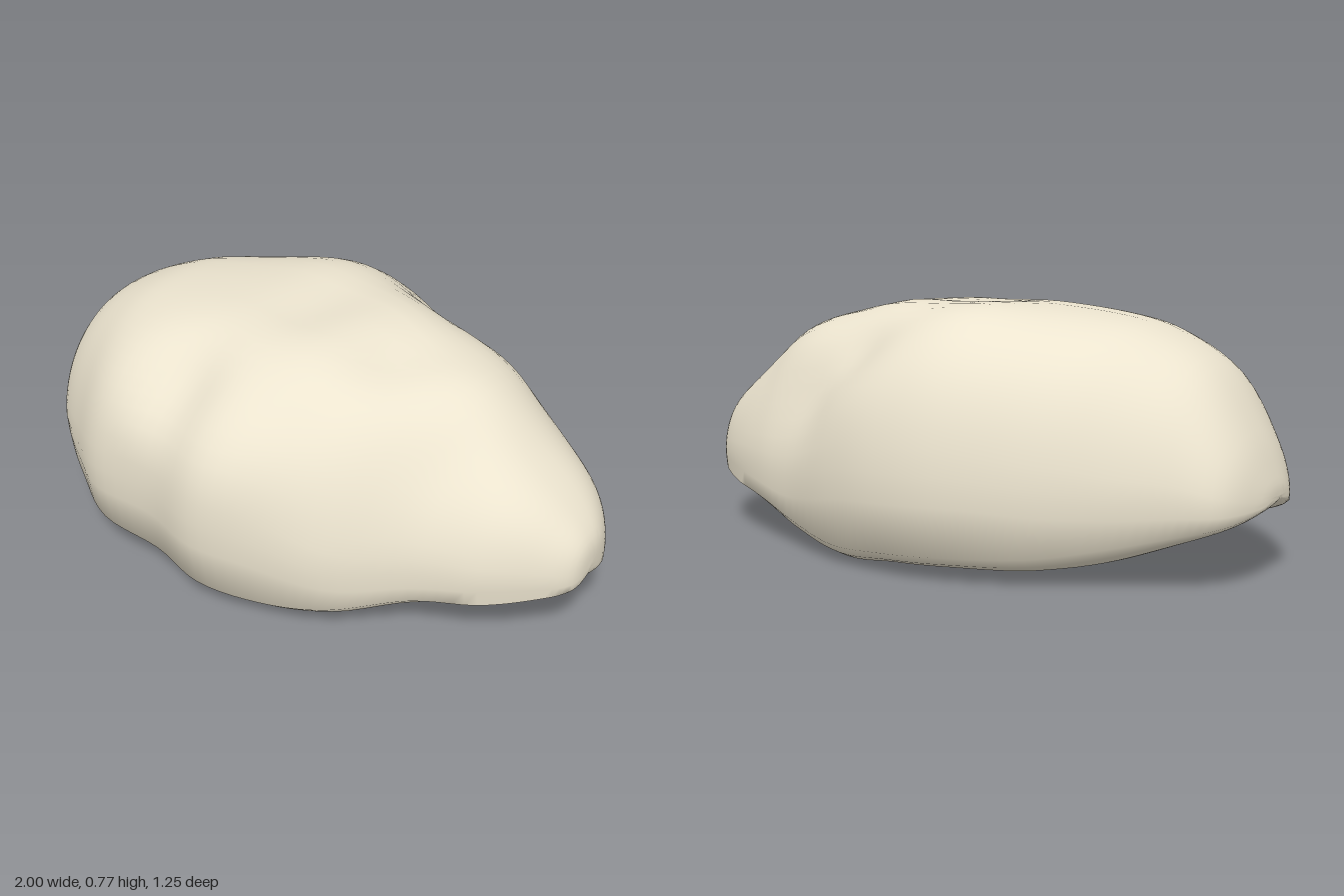
import * as THREE from 'three';
import { toCreasedNormals } from 'three/addons/utils/BufferGeometryUtils.js';

// Stations along the length: x, front z, back z, crown y, rim y, lowest y, channel y
const rows = [
  [-1, -0.03, -0.03, 0.25, 0.25, 0.25, 0.25],
  [-0.99, 0.07, -0.16, 0.3, 0.22, 0.22, 0.235],
  [-0.93, 0.21, -0.3, 0.43, 0.19, 0.18, 0.22],
  [-0.8, 0.37, -0.38, 0.6, 0.16, 0.13, 0.19],
  [-0.62, 0.49, -0.47, 0.69, 0.12, 0.07, 0.16],
  [-0.44, 0.58, -0.55, 0.73, 0.09, 0.04, 0.14],
  [-0.2, 0.59, -0.62, 0.765, 0.08, 0.03, 0.13],
  [0, 0.63, -0.62, 0.77, 0.07, 0.02, 0.13],
  [0.2, 0.58, -0.57, 0.77, 0.06, 0.005, 0.13],
  [0.4, 0.51, -0.49, 0.735, 0.09, 0.04, 0.14],
  [0.6, 0.37, -0.41, 0.67, 0.14, 0.1, 0.16],
  [0.78, 0.28, -0.31, 0.53, 0.16, 0.15, 0.18],
  [0.91, 0.18, -0.21, 0.425, 0.185, 0.18, 0.2],
  [0.985, 0.1, -0.09, 0.34, 0.21, 0.205, 0.22],
  [1, 0.02, 0.02, 0.26, 0.26, 0.26, 0.26],
];

// Zigzag slot in the underside: x, front z, back z
const slot = [
  [-0.5, 0, 0], [-0.44, 0.08, -0.06], [-0.36, 0.05, -0.09], [-0.2, 0.08, -0.05], [-0.06, 0.07, -0.06],
  [0.02, 0.12, -0.04], [0.12, 0.07, -0.07], [0.22, 0.09, -0.06], [0.32, 0.05, -0.11], [0.45, 0.05, -0.11], [0.54, -0.03, -0.03],
];

// Soft lumps and hollows: x, y, z, radius, height
const lumps = [
  [0.48, 0.62, -0.24, 0.14, 0.03], [0.2, 0.66, -0.42, 0.15, -0.055], [0.36, 0.5, -0.46, 0.13, -0.025],
  [0.33, 0.72, 0.1, 0.14, -0.03], [0.6, 0.5, 0.16, 0.14, -0.02], [-0.15, 0.63, 0.43, 0.16, -0.045],
  [0.15, 0.66, 0.38, 0.16, -0.025], [-0.25, 0.48, 0.58, 0.13, 0.02], [-0.12, 0.75, -0.3, 0.16, 0.012],
  [-0.5, 0.7, 0, 0.22, 0.012], [0, 0.76, 0.02, 0.12, -0.015], [0.08, 0.45, 0.6, 0.14, 0.015],
];

function sampleStations(perSpan) {
  const columns = [1, 2, 3, 4, 5, 6].map(c => new THREE.SplineCurve(rows.map(r => new THREE.Vector2(r[0], r[c]))));
  const n = (rows.length - 1) * perSpan;
  return Array.from({ length: n + 1 }, (_, i) => {
    const pts = columns.map(c => c.getPoint(i / n));
    return [pts[0].x, ...pts.map(p => p.y)];
  });
}

// Slot edge z at a given x, on the front (1) or back (2); closed to a seam beyond its ends
function slotEdge(x, side) {
  for (let i = 1; i < slot.length; i++) {
    const a = slot[i - 1], b = slot[i];
    if (x >= a[0] && x <= b[0]) return THREE.MathUtils.mapLinear(x, a[0], b[0], a[side], b[side]);
  }
  return x > 0
    ? THREE.MathUtils.mapLinear(x, 0.54, 1, -0.03, 0.02)
    : THREE.MathUtils.mapLinear(x, -0.5, -1, 0, -0.03);
}

// Joins equal-length cross-sections into a surface
function loft(sections) {
  const m = sections[0].length, index = [];
  for (let i = 0; i < sections.length - 1; i++) {
    for (let j = 0; j < m - 1; j++) {
      const a = i * m + j, b = a + m;
      index.push(a, b, b + 1, a, b + 1, a + 1);
    }
  }
  const geo = new THREE.BufferGeometry();
  geo.setAttribute('position', new THREE.Float32BufferAttribute(sections.flat(2), 3));
  geo.setIndex(index);
  geo.computeVertexNormals();
  return geo;
}

// Pushes a point outward by the lumps, fading to nothing at the rim
function addLumps(p, fade) {
  const d = new THREE.Vector3(p[0] * 0.4, p[1] - 0.25, p[2]).normalize();
  let h = 0;
  for (const [x, y, z, r, k] of lumps) {
    h += fade * k * Math.exp(-((p[0] - x) ** 2 + (p[1] - y) ** 2 + (p[2] - z) ** 2) / (r * r));
  }
  return [p[0] + d.x * h, p[1] + d.y * h, p[2] + d.z * h];
}

// Underside point: u = 1 at the rim, 0 at the slot
function undersidePoint([x, zf, zb, , rim, low, channel], u, side) {
  const mid = (zf + zb) / 2, turn = 0.76;
  const edge = mid + ((side === 1 ? zf : zb) - mid) * 0.95;
  const z = THREE.MathUtils.lerp(slotEdge(x, side), edge, u);
  const y = u > turn
    ? low + (rim - low) * ((u - turn) / (1 - turn)) ** 2
    : low + (channel - low) * (1 - u / turn) ** 1.5;
  return [x, y, z];
}

// One section: front underside, over the crown, back underside
function bodySection(s) {
  const [x, zf, zb, top, rim] = s, under = 12, over = 32, pts = [];
  // Boxy in the middle, rounder at the blunt end, peaked before a fuller tip
  const squareness = x > 0
    ? 3 - 1.05 * THREE.MathUtils.smoothstep(x, 0.1, 0.55) + 0.6 * THREE.MathUtils.smoothstep(x, 0.6, 0.9)
    : 3 - 0.75 * THREE.MathUtils.smoothstep(-x, 0.25, 0.85);
  const power = 2 / squareness;
  const mid = (zf + zb) / 2, half = (zf - zb) / 2;
  for (let j = 0; j < under; j++) pts.push(undersidePoint(s, j / under, 1));
  for (let j = 0; j <= over; j++) {
    const a = Math.PI * j / over, c = Math.cos(a);
    const v = Math.abs(Math.sin(a)) ** power;
    const inset = 1 - 0.05 * Math.max(0, 1 - v / 0.25);
    const z = mid + half * inset * Math.sign(c) * Math.abs(c) ** power;
    pts.push(addLumps([x, rim + (top - rim) * v, z], THREE.MathUtils.smoothstep(v, 0, 0.35)));
  }
  for (let j = under - 1; j >= 0; j--) pts.push(undersidePoint(s, j / under, 2));
  return pts;
}

export function createModel() {
  const group = new THREE.Group();
  const stations = sampleStations(5);

  // Rounded shell with a channelled underside
  const shell = new THREE.Mesh(
    toCreasedNormals(loft(stations.map(bodySection)), 1.0),
    new THREE.MeshStandardMaterial({ color: 0xece4cf, side: THREE.DoubleSide }));
  shell.name = 'shell';

  // Walls and roof inside the slot
  const inner = stations.filter(s => s[0] >= -0.52 && s[0] <= 0.58).map(s => {
    const front = undersidePoint(s, 0, 1), back = undersidePoint(s, 0, 2);
    return [front, [s[0], 0.36, front[2]], [s[0], 0.36, back[2]], back];
  });
  const lining = new THREE.Mesh(
    toCreasedNormals(loft(inner), 0.5),
    new THREE.MeshStandardMaterial({ color: 0x7c5048, side: THREE.DoubleSide }));
  lining.name = 'slotLining';

  group.add(shell, lining);
  return group;
}
